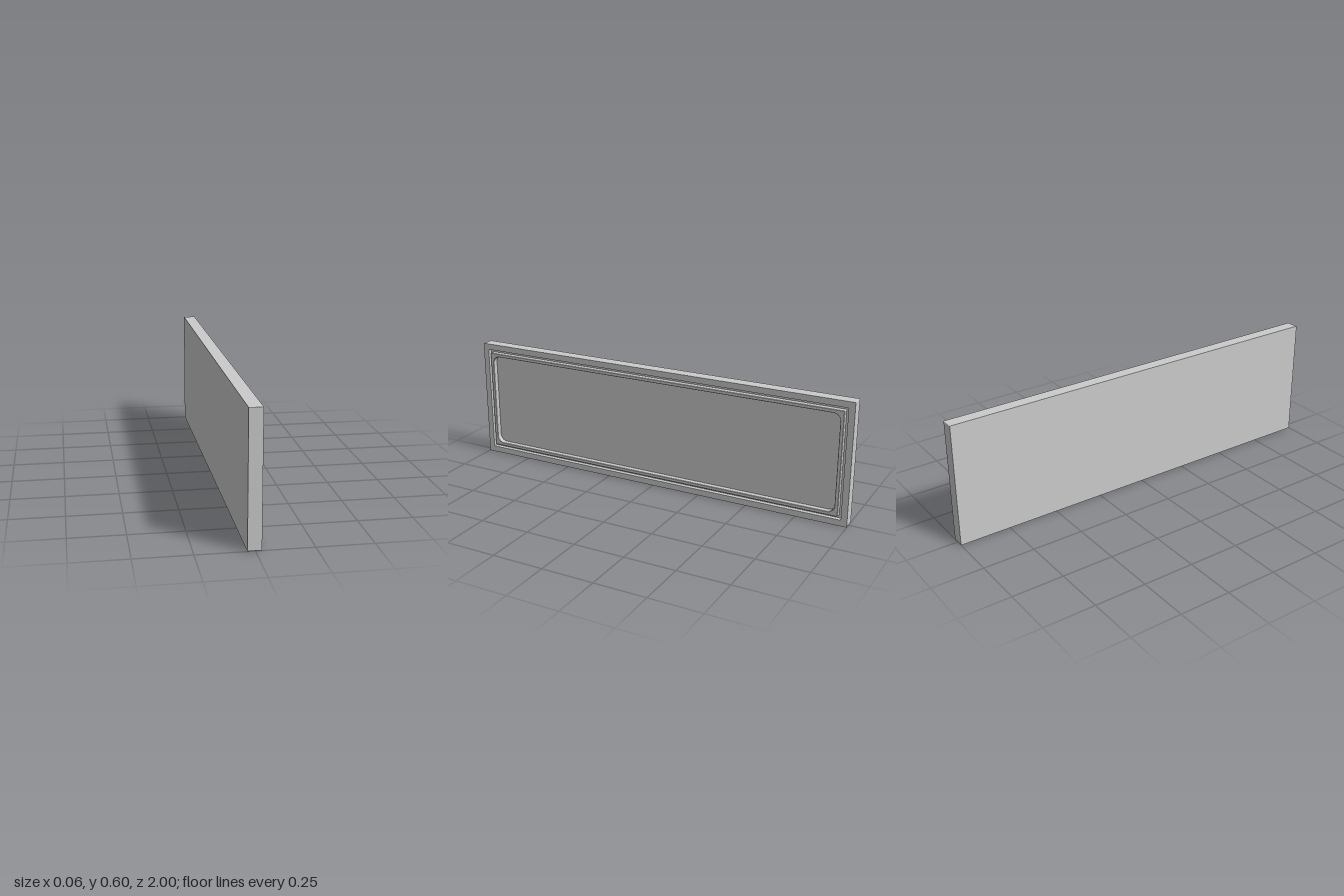
import * as THREE from 'three';

const LENGTH = 2, HEIGHT = 0.6;
const BACK = -0.033, FLOOR = 0.005, RIM = 0.027, LIP = 0.032;

// Rounded rectangle inset evenly from the panel outline
function outline(inset, radius, PathType = THREE.Shape) {
  const w = LENGTH / 2 - inset, y0 = inset, y1 = HEIGHT - inset, r = radius;
  const p = new PathType();
  p.moveTo(-w + r, y0);
  p.lineTo(w - r, y0);
  p.absarc(w - r, y0 + r, r, -Math.PI / 2, 0);
  p.lineTo(w, y1 - r);
  p.absarc(w - r, y1 - r, r, 0, Math.PI / 2);
  p.lineTo(-w + r, y1);
  p.absarc(-w + r, y1 - r, r, Math.PI / 2, Math.PI);
  p.lineTo(-w, y0 + r);
  p.absarc(-w + r, y0 + r, r, Math.PI, Math.PI * 1.5);
  return p;
}

export function createModel() {
  const group = new THREE.Group();
  const material = new THREE.MeshStandardMaterial({ color: 0xcccccc });

  // Extrudes an outline across the panel thickness, from x0 to x1
  function layer(name, shape, x0, x1, bevel = 0) {
    const geometry = new THREE.ExtrudeGeometry(shape, {
      depth: x1 - x0 - 2 * bevel,
      curveSegments: 8,
      bevelEnabled: bevel > 0,
      bevelThickness: bevel,
      bevelSize: bevel,
      bevelOffset: -bevel,
      bevelSegments: 1,
    });
    geometry.translate(0, 0, x0 + bevel);
    geometry.rotateY(Math.PI / 2);
    const mesh = new THREE.Mesh(geometry, material);
    mesh.name = name;
    group.add(mesh);
  }

  // Solid back, which is also the floor of the recess and groove
  layer('backPanel', outline(0, 0.003), BACK, FLOOR);

  // Flat border around the edge
  const border = outline(0, 0.003);
  border.holes.push(outline(0.03, 0.002, THREE.Path));
  layer('outerBorder', border, FLOOR, RIM);

  // Raised lip with a rounded inner opening, separated by a narrow groove
  const lip = outline(0.045, 0.003);
  lip.holes.push(outline(0.062, 0.035, THREE.Path));
  layer('raisedLip', lip, FLOOR - 0.003, LIP, 0.002);

  return group;
}
